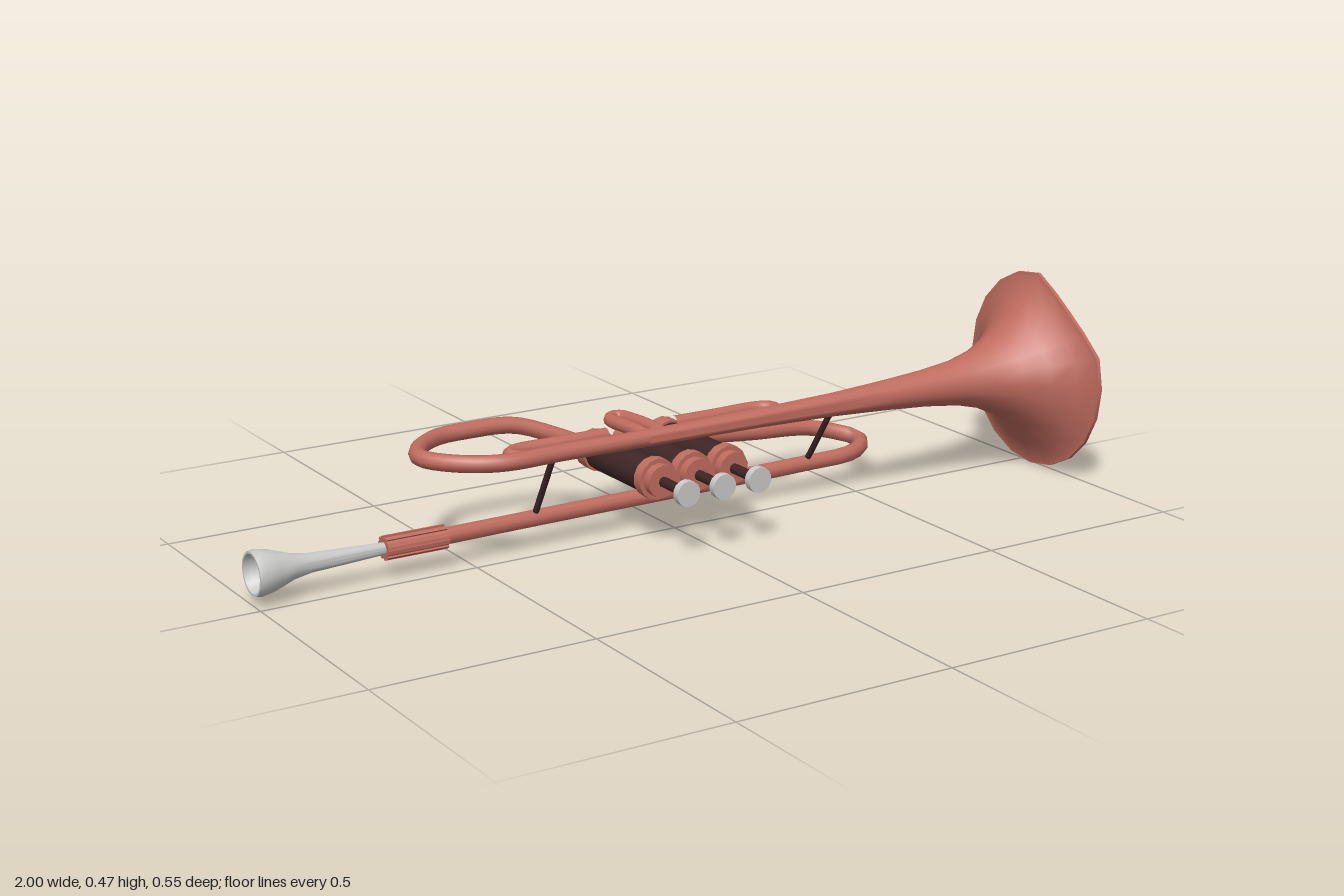
import * as THREE from 'three';
import { toCreasedNormals } from 'three/addons/utils/BufferGeometryUtils.js';

const copper = new THREE.MeshStandardMaterial({ color: 0xc06c5f });
const silver = new THREE.MeshStandardMaterial({ color: 0xcacac8 });
const dark = new THREE.MeshStandardMaterial({ color: 0x3e2625 });
copper.name = 'copper';
silver.name = 'silver';
dark.name = 'darkMetal';

const V = (p) => new THREE.Vector3(...p);

export function createModel() {
  const model = new THREE.Group();
  const add = (name, geometry, material, parent = model) => {
    const mesh = new THREE.Mesh(geometry, material);
    mesh.name = name;
    parent.add(mesh);
    return mesh;
  };

  // Round pipe through points
  const pipe = (name, points, radius, segments) => {
    const curve = new THREE.CatmullRomCurve3(points.map(V), false, 'centripetal');
    return add(name, new THREE.TubeGeometry(curve, segments, radius, 10), copper);
  };

  // Straight rod between two points
  const rod = (name, a, b, radius, material, sides, parent = model) => {
    const from = V(a), to = V(b);
    const mesh = add(name, new THREE.CylinderGeometry(radius, radius, from.distanceTo(to), sides), material, parent);
    mesh.position.copy(from).add(to).multiplyScalar(0.5);
    mesh.quaternion.setFromUnitVectors(new THREE.Vector3(0, 1, 0), to.sub(from).normalize());
    return mesh;
  };

  // Profile of [x, radius] turned around the x axis
  const turned = (profile, sides) =>
    new THREE.LatheGeometry(profile.map(([x, r]) => new THREE.Vector2(r, x)), sides).rotateZ(-Math.PI / 2);

  // Bell: outer wall, rim, then inner wall
  const flare = [[-0.1, 0.019], [0.2, 0.022], [0.4, 0.027], [0.55, 0.035], [0.66, 0.043], [0.75, 0.054],
    [0.82, 0.072], [0.88, 0.1], [0.93, 0.138], [0.97, 0.185], [0.99, 0.226]];
  const inner = flare.slice(2).reverse().map(([x, r]) => [x + 0.004, r - 0.006]);
  const bell = turned([...flare, [0.991, 0.235], [1, 0.235], [1, 0.228], ...inner, [0.404, 0]], 20);

  // Dent in the upper front of the rim
  const pos = bell.attributes.position;
  for (let i = 0; i < pos.count; i++) {
    const x = pos.getX(i), y = pos.getY(i), z = pos.getZ(i);
    const offset = (Math.atan2(y, z) * 180 / Math.PI - 54) / 37;
    const s = 1 - 0.165 * Math.max(0, 1 - offset * offset) * THREE.MathUtils.smoothstep(x, 0.8, 0.99);
    pos.setXYZ(i, x, y * s, z * s);
  }
  add('bell', toCreasedNormals(bell, 0.7), copper).position.set(0, 0.238, 0.04);

  // Bell pipe bending back to the valves
  pipe('bellPipe', [[-0.08, 0.238, 0.04], [-0.3, 0.24, 0.04], [-0.46, 0.24, 0.038], [-0.545, 0.24, -0.015],
    [-0.585, 0.24, -0.085], [-0.555, 0.24, -0.15], [-0.48, 0.24, -0.207], [-0.4, 0.24, -0.215],
    [-0.29, 0.235, -0.212], [-0.2, 0.205, -0.185], [-0.09, 0.155, -0.15]], 0.019, 44);

  // Lead pipe with its bend up to the valves
  pipe('leadPipe', [[-0.62, 0.072, -0.04], [-0.3, 0.071, -0.05], [0.1, 0.07, -0.058], [0.4, 0.07, -0.067],
    [0.53, 0.07, -0.075], [0.595, 0.071, -0.115], [0.617, 0.075, -0.157], [0.59, 0.083, -0.197],
    [0.515, 0.1, -0.222], [0.36, 0.115, -0.216], [0.2, 0.132, -0.205], [0.15, 0.14, -0.18],
    [0.08, 0.15, -0.15]], 0.019, 50);

  // Ribbed sleeve joining mouthpiece and lead pipe
  const ribs = new THREE.Shape();
  for (let i = 0; i < 40; i++) {
    const a = Math.floor((i + 1) / 2) * Math.PI / 10, r = i % 4 < 2 ? 0.027 : 0.023;
    ribs[i ? 'lineTo' : 'moveTo'](r * Math.cos(a), r * Math.sin(a));
  }
  const sleeve = new THREE.ExtrudeGeometry(ribs, { depth: 0.145, bevelEnabled: false }).rotateY(Math.PI / 2);
  add('mouthpieceSleeve', sleeve, copper).position.set(-0.7, 0.072, -0.04);

  // Mouthpiece with hollow cup
  const mouthpiece = turned([[-0.93, 0], [-0.95, 0.025], [-0.985, 0.04], [-1, 0.043], [-1, 0.048],
    [-0.985, 0.05], [-0.955, 0.044], [-0.91, 0.028], [-0.87, 0.021], [-0.8, 0.018], [-0.69, 0.013]], 16);
  add('mouthpiece', toCreasedNormals(mouthpiece, 0.7), silver).position.set(0, 0.072, -0.039);

  // Three valves lying along z
  [['right', -0.092], ['middle', 0], ['left', 0.092]].forEach(([side, x]) => {
    const valve = new THREE.Group();
    valve.name = side + 'Valve';
    model.add(valve);
    const part = (name, z0, z1, r, material, sides = 14) =>
      rod(name, [x, 0.153, z0], [x, 0.153, z1], r, material, sides, valve);
    part('valveBody', -0.165, 0.056, 0.041, dark);
    part('bottomCap', -0.203, -0.163, 0.046, copper);
    part('topCap', 0.052, 0.078, 0.047, copper);
    part('capCollar', 0.076, 0.1, 0.037, copper);
    part('stem', 0.098, 0.188, 0.012, dark, 8);
    part('button', 0.185, 0.203, 0.029, silver);
  });

  // Slides at the sides
  for (const s of [-1, 1]) {
    pipe(s < 0 ? 'rightSlide' : 'leftSlide', [[s * 0.09, 0.198, -0.145], [s * 0.2, 0.198, -0.145],
      [s * 0.32, 0.198, -0.145], [s * 0.344, 0.198, -0.132], [s * 0.349, 0.198, -0.116],
      [s * 0.344, 0.198, -0.1], [s * 0.32, 0.198, -0.087], [s * 0.2, 0.198, -0.087],
      [s * 0.09, 0.198, -0.087]], 0.016, 36);
  }

  // Short slide of the middle valve
  pipe('middleSlide', [[-0.021, 0.18, -0.07], [-0.021, 0.197, -0.09], [-0.021, 0.197, -0.235],
    [-0.014, 0.197, -0.254], [0, 0.197, -0.26], [0.014, 0.197, -0.254], [0.021, 0.197, -0.235],
    [0.021, 0.197, -0.09], [0.021, 0.18, -0.07]], 0.016, 36);

  // Braces between the two long pipes
  rod('rightBrace', [-0.331, 0.075, -0.049], [-0.331, 0.235, 0.04], 0.007, dark, 8);
  rod('leftBrace', [0.404, 0.075, -0.067], [0.404, 0.235, 0.04], 0.007, dark, 8);

  return model;
}
